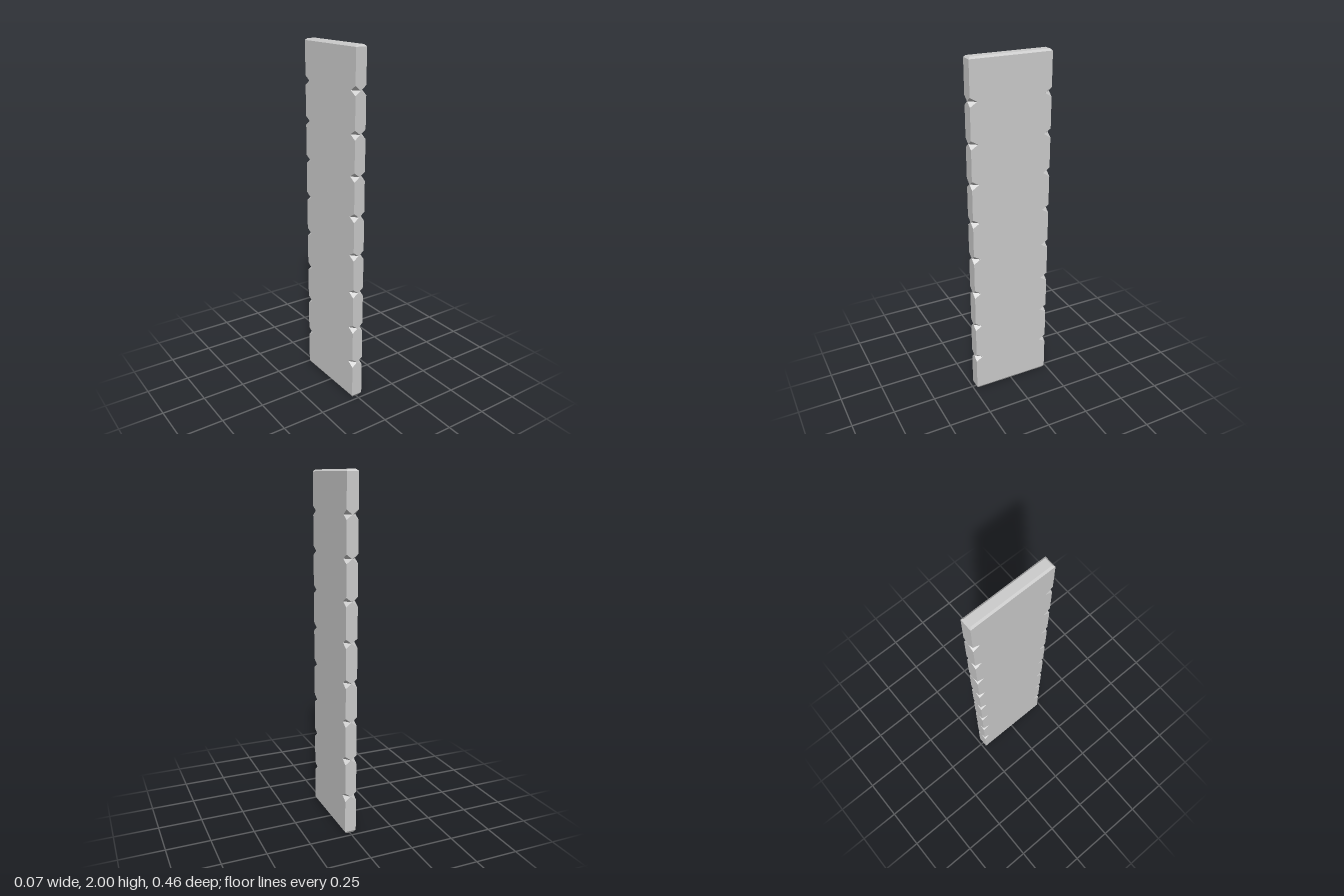
import * as THREE from 'three';

const HX = 0.033, HZ = 0.232, BEVEL = 0.01;
const NOTCHES = 8, FIRST = 0.23, STEP = 0.2214, NOTCH_HALF = 0.025, NOTCH_DEPTH = 0.04;

// Horizontal section: a rectangle whose four corners can be cut back by cx and cz.
function section(y, hx, hz, cx = 0, cz = 0) {
  const a = hx - cx, b = hz - cz;
  return [[a, hz], [hx, b], [hx, -b], [a, -hz], [-a, -hz], [-hx, -b], [-hx, b], [-a, hz]]
    .map(([x, z]) => new THREE.Vector3(x, y, z));
}

// Joins the sections, bottom to top, with flat faces and closes both ends.
function loft(rings) {
  const points = [];
  const tri = (a, b, c) => {
    const area = new THREE.Vector3().subVectors(b, a).cross(new THREE.Vector3().subVectors(c, a));
    if (area.length() > 1e-9) for (const p of [a, b, c]) points.push(p);
  };
  const n = rings[0].length;
  for (let r = 0; r < rings.length - 1; r++) {
    for (let i = 0; i < n; i++) {
      const j = (i + 1) % n, lo = rings[r], hi = rings[r + 1];
      tri(lo[i], lo[j], hi[j]);
      tri(lo[i], hi[j], hi[i]);
    }
  }
  const bottom = rings[0], top = rings[rings.length - 1];
  for (let i = 1; i < n - 1; i++) {
    tri(top[0], top[i], top[i + 1]);
    tri(bottom[0], bottom[i + 1], bottom[i]);
  }
  const geometry = new THREE.BufferGeometry().setFromPoints(points);
  geometry.computeVertexNormals();
  return geometry;
}

export function createModel() {
  const group = new THREE.Group();
  group.name = 'notchedPlank';

  // Bevelled lower end
  const rings = [section(0, HX - BEVEL, HZ - BEVEL), section(0.015, HX, HZ)];
  // Evenly spaced V nicks on all four long corners
  for (let i = 0; i < NOTCHES; i++) {
    const y = FIRST + i * STEP;
    rings.push(
      section(y - NOTCH_HALF, HX, HZ),
      section(y, HX, HZ, HX - 0.001, NOTCH_DEPTH),
      section(y + NOTCH_HALF, HX, HZ),
    );
  }
  // Bevelled upper end
  rings.push(section(2 - BEVEL, HX, HZ), section(2, HX - BEVEL, HZ - BEVEL));

  const plank = new THREE.Mesh(
    loft(rings),
    new THREE.MeshStandardMaterial({ color: 0xcccccc, flatShading: true }),
  );
  plank.name = 'plank';
  group.add(plank);
  return group;
}
